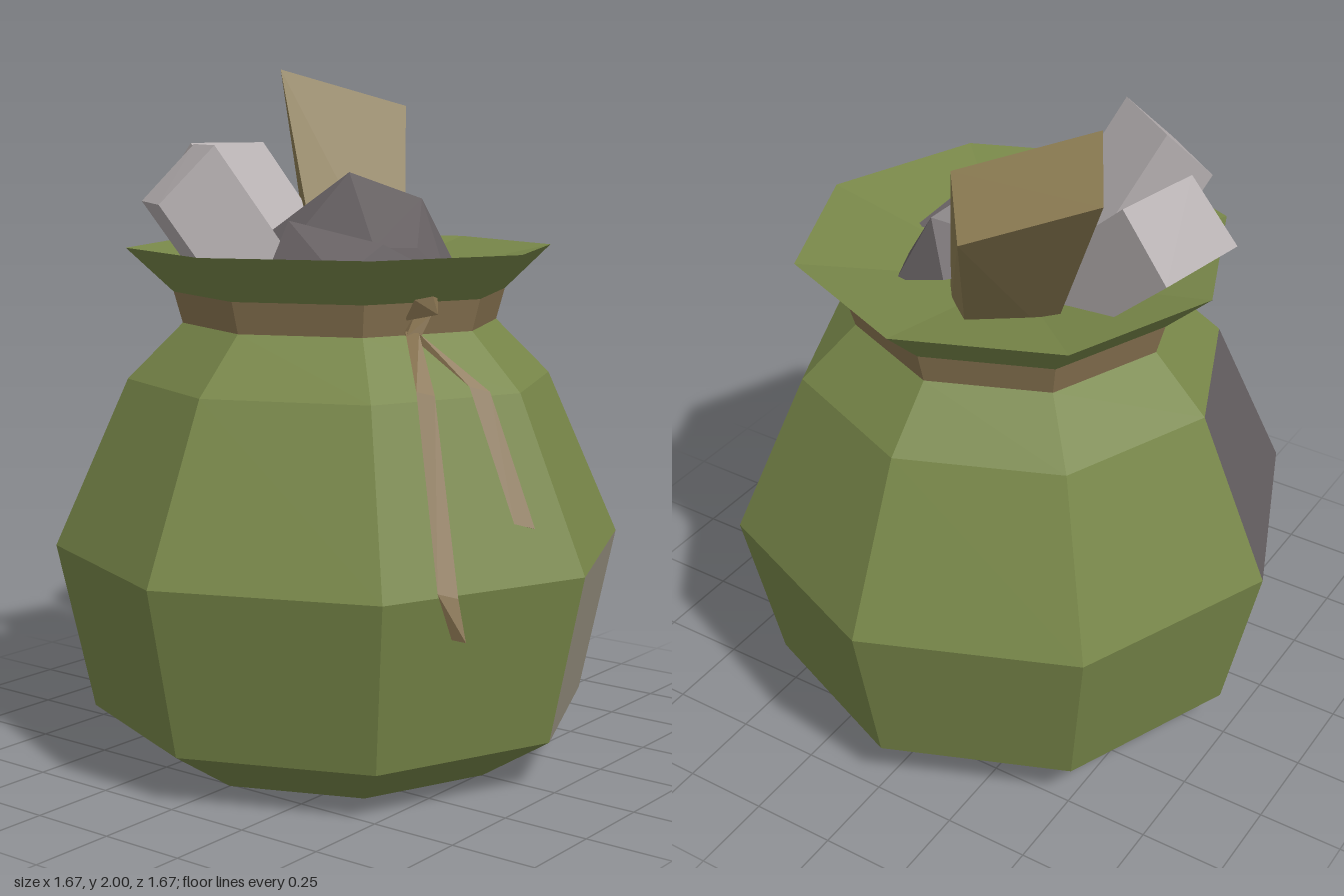
import * as THREE from 'three';
import { mergeGeometries } from 'three/addons/utils/BufferGeometryUtils.js';
import { ConvexGeometry } from 'three/addons/geometries/ConvexGeometry.js';

const makeMaterial = (name, color) =>
  new THREE.MeshStandardMaterial({ name, color, flatShading: true, side: THREE.DoubleSide });

export function createModel() {
  const model = new THREE.Group();
  model.name = 'stuffedSack';

  const cloth = makeMaterial('green cloth', 0x788749);
  const cord = makeMaterial('tan cord', 0x8a7552);
  const wood = makeMaterial('wood', 0x8b7b52);
  const paleStone = makeMaterial('pale stone', 0xb5afb0);
  const darkStone = makeMaterial('dark stone', 0x666062);
  const lightPatch = makeMaterial('light patch cloth', 0x979180);

  const add = (name, geometry, material) => {
    const mesh = new THREE.Mesh(geometry, material);
    mesh.name = name;
    model.add(mesh);
    return mesh;
  };
  const vectors = (list) => list.map((p) => new THREE.Vector3(...p));
  const hull = (name, list, material) => add(name, new ConvexGeometry(vectors(list)), material);

  // Octagonal sack: one panel per ring and side, so the patches replace whole panels
  const profile = [
    [0.51, 0], [0.73, 0.14], [0.835, 0.625], [0.62, 1.11],
    [0.46, 1.27], [0.485, 1.36], [0.62, 1.487],
  ].map(([r, y]) => new THREE.Vector2(r, y));
  const step = Math.PI / 4;
  const clothPanels = [];
  const cordPanels = [];
  for (let ring = 0; ring < profile.length - 1; ring++) {
    for (let side = 0; side < 8; side++) {
      const panel = new THREE.LatheGeometry([profile[ring], profile[ring + 1]], 1, side * step, step);
      if (ring === 1 && side === 0) add('frontPatch', panel, lightPatch);
      else if (ring === 2 && side === 4) add('backPatch', panel, darkStone);
      else if (ring === 4) cordPanels.push(panel);
      else clothPanels.push(panel);
    }
  }
  add('sackBody', mergeGeometries(clothPanels), cloth);
  add('neckCord', mergeGeometries(cordPanels), cord);

  // Shallow cloth funnel inside the mouth
  add('sackMouth', new THREE.LatheGeometry(
    [new THREE.Vector2(0, 1.36), new THREE.Vector2(0.62, 1.487)], 8), cloth);

  // Tapered wooden beam leaning out to the back
  hull('woodenBeam', [
    [0.19, 2.0, -0.38], [0.46, 1.95, -0.54], [0.64, 1.84, -0.24], [0.4, 1.89, -0.06],
    [0, 1.3, -0.06], [0.13, 1.3, -0.2], [0.28, 1.3, -0.02], [0.15, 1.3, 0.12],
  ], wood);

  // Pale blocks: an end face swept down into the sack
  const block = (name, end, d) =>
    hull(name, [...end, ...end.map((p) => p.map((v, i) => v + d[i]))], paleStone);
  block('leaningBlock', [
    [-0.565, 1.62, -0.19], [-0.43, 1.78, -0.105], [-0.275, 1.78, -0.32], [-0.41, 1.62, -0.4],
  ], [0.25, -0.43, 0.17]);
  block('backBlock', [
    [-0.08, 1.62, -0.645], [0.21, 1.62, -0.59], [0.165, 1.78, -0.43], [-0.1, 1.78, -0.49],
  ], [-0.07, -0.34, 0.36]);

  // Dark rocks heaped in the mouth
  hull('largeRock', [
    [0, 1.7, 0.03], [0.22, 1.62, 0.13], [-0.16, 1.5, 0.24], [0.03, 1.49, 0.25],
    [0.27, 1.47, 0.06], [0.27, 1.42, 0.22], [0.05, 1.5, -0.18], [-0.12, 1.52, -0.18],
    [-0.2, 1.48, -0.05], [0, 1.36, 0.3], [0.12, 1.4, 0.29],
  ], darkStone);
  hull('smallRock', [
    [-0.24, 1.57, 0], [-0.34, 1.42, 0], [-0.32, 1.42, 0.24], [-0.16, 1.51, 0.27],
    [-0.12, 1.5, 0.1], [0, 1.42, 0.35], [-0.1, 1.4, 0],
  ], darkStone);

  // Ridged cord tails: triangular sections [x, y, z, halfWidth] joined in pairs
  const tail = (name, sections) => {
    const parts = [];
    for (let i = 0; i < sections.length - 1; i++) {
      const corners = [sections[i], sections[i + 1]].flatMap(([x, y, z, w]) => [
        [x - w, y + w * 0.3, z - 0.02], [x + w, y - w * 0.3, z - 0.02], [x - w * 0.2, y, z + 0.02],
      ]);
      parts.push(new ConvexGeometry(vectors(corners)));
    }
    add(name, mergeGeometries(parts), cord);
  };
  tail('longCordTail', [
    [-0.21, 1.28, 0.41, 0.01], [-0.3, 1.13, 0.53, 0.035], [-0.415, 0.63, 0.69, 0.045], [-0.43, 0.52, 0.72, 0.008],
  ]);
  tail('shortCordTail', [
    [-0.21, 1.28, 0.41, 0.01], [-0.14, 1.13, 0.6, 0.05], [-0.16, 0.78, 0.76, 0.05],
  ]);

  // Small knot on the neck
  hull('cordKnot', [
    [-0.22, 1.37, 0.42], [-0.14, 1.37, 0.44], [-0.18, 1.33, 0.47], [-0.19, 1.38, 0.46],
    [-0.21, 1.31, 0.38], [-0.15, 1.34, 0.38],
  ], cord);
  hull('knotLoop', [
    [-0.18, 1.34, 0.4], [-0.18, 1.33, 0.45], [-0.23, 1.27, 0.4], [-0.21, 1.26, 0.43], [-0.2, 1.28, 0.37],
  ], cord);

  return model;
}
